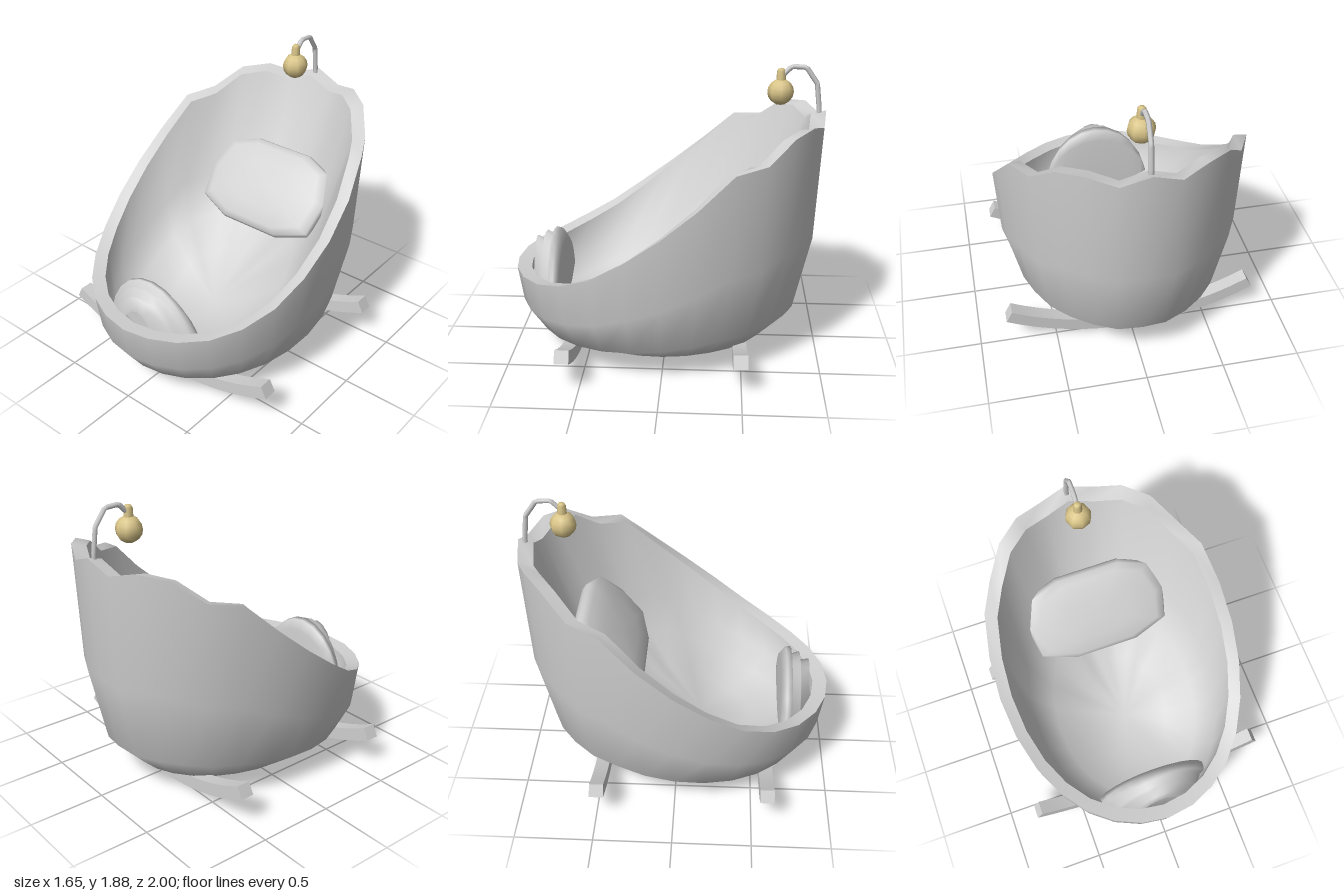
import * as THREE from 'three';
import { mergeVertices, toCreasedNormals } from 'three/addons/utils/BufferGeometryUtils.js';

// Skin a list of rings (arrays of [x, y, z]) into one smooth surface
function loft(rings, closed = true) {
  const n = rings[0].length, index = [];
  for (let j = 0; j < rings.length - 1; j++) {
    for (let i = 0; i < (closed ? n : n - 1); i++) {
      const k = (i + 1) % n, a = j * n + i, b = a + n, c = j * n + k, d = c + n;
      index.push(a, b, c, c, b, d);
    }
  }
  let g = new THREE.BufferGeometry();
  g.setAttribute('position', new THREE.Float32BufferAttribute(rings.flat(2), 3));
  g.setIndex(index);
  g = mergeVertices(g, 1e-4);
  g.computeVertexNormals();
  return g;
}

export function createModel() {
  const group = new THREE.Group();
  const grey = new THREE.MeshStandardMaterial({ color: 0xd0d0d0 });
  grey.name = 'pale grey';
  grey.side = THREE.DoubleSide;
  const gold = new THREE.MeshStandardMaterial({ color: 0xd8c488 });
  gold.name = 'soft gold';
  const add = (name, geometry, material = grey) => {
    const mesh = new THREE.Mesh(geometry, material);
    mesh.name = name;
    group.add(mesh);
    return mesh;
  };

  // Rim height from the scalloped back (first) down to the front (last)
  const rim = [1.59, 1.525, 1.567, 1.54, 1.41, 1.38, 1.185, 1.005, 0.845, 0.71, 0.625, 0.575, 0.555, 0.547, 0.54];
  const sides = 28, base = 0.09;
  // One oval ring: radius factor, fraction of the rim height, extra lift, forward shift
  const ring = ([r, f, lift = 0, shift = 0]) => Array.from({ length: sides }, (_, i) => {
    const a = i / sides * Math.PI * 2, h = rim[Math.min(i, sides - i)];
    return [0.8 * r * Math.sin(a), base + lift + f * (h - base), shift - r * Math.cos(a)];
  });
  const shell = profile => loft(profile.map(ring));

  // Cradle body: outside, rim and an inside that slopes up towards the back
  add('cradleShell', shell([[0, 0], [0.45, 0], [0.67, 0.02], [0.855, 0.145], [0.965, 0.49], [1, 1]]));
  add('cradleRim', shell([[1, 1], [0.905, 0.985]]));
  add('cradleLining', shell([[0.905, 0.985], [0.78, 0.57, 0, 0.11], [0.6, 0.4, 0, 0.15],
    [0.35, 0.27, 0, 0.15], [0, 0, 0.16, 0.15]]));

  // Pillow: rounded outline, shallow in front and fuller behind, leaning back
  const half = [[0.22, 1], [0.41, 0.75], [0.48, 0.06], [0.45, -0.7], [0.22, -1]];
  const outline = [...half, ...half.map(([x, t]) => [-x, t]).reverse()];
  const swell = [[0, -0.19], [0.5, -0.165], [0.85, -0.1], [0.97, -0.04], [1, 0],
    [0.97, 0.03], [0.85, 0.055], [0.5, 0.075], [0, 0.08]];
  const pillow = add('pillow', loft(swell.map(([s, h]) =>
    outline.map(([x, t]) => [x * s, h, -t * s * 0.3]))));
  pillow.position.set(0, 0.895, -0.435);
  pillow.rotation.x = 0.85;

  // Folded blanket: three arched ridges, given as z, top height, half width
  const folds = [[0.685, 0.25, 0.39], [0.685, 0.67, 0.39], [0.72, 0.74, 0.385], [0.753, 0.75, 0.37],
    [0.758, 0.69, 0.34], [0.81, 0.73, 0.31], [0.818, 0.66, 0.28], [0.87, 0.70, 0.2], [0.88, 0.6, 0.16]];
  const arcs = 12;
  add('foldedBlanket', loft(folds.map(([z, top, w]) => Array.from({ length: arcs + 1 }, (_, i) => {
    const a = Math.PI * (1 - i / arcs);
    return [w * Math.cos(a), 0.25 + (top - 0.25) * Math.sin(a), z];
  })), false));

  // Two curved rockers running side to side
  const R = 1.8, thick = 0.085, spread = 0.475, depth = 0.09, down = -Math.PI / 2;
  const bow = new THREE.Shape();
  bow.absarc(0, R, R, down - spread, down + spread, false);
  bow.absarc(0, R, R - thick, down + spread, down - spread, true);
  const rockerGeo = toCreasedNormals(
    new THREE.ExtrudeGeometry(bow, { depth, bevelEnabled: false, curveSegments: 8 }), 0.6);
  for (const [name, z] of [['frontRocker', 0.595], ['backRocker', -0.49]]) {
    add(name, rockerGeo).position.z = z - depth / 2;
  }

  // Hooked arm rising from the back of the rim
  const hook = new THREE.CurvePath();
  const path = [[1.52, -0.955], [1.6, -0.955], [1.76, -0.935], [1.86, -0.865], [1.865, -0.775], [1.81, -0.72]]
    .map(([y, z]) => new THREE.Vector3(0, y, z));
  for (let i = 1; i < path.length; i++) hook.add(new THREE.LineCurve3(path[i - 1], path[i]));
  add('hookArm', new THREE.TubeGeometry(hook, 24, 0.016, 6));

  // Hanging bauble with a rounded neck
  add('bauble', new THREE.SphereGeometry(0.083, 8, 8), gold).position.set(0, 1.705, -0.71);
  const neck = [[0.03, -0.04], [0.027, 0.025], [0.018, 0.04], [0, 0.042]].map(p => new THREE.Vector2(...p));
  add('baubleNeck', new THREE.LatheGeometry(neck, 8), gold).position.set(0, 1.81, -0.71);

  return group;
}
